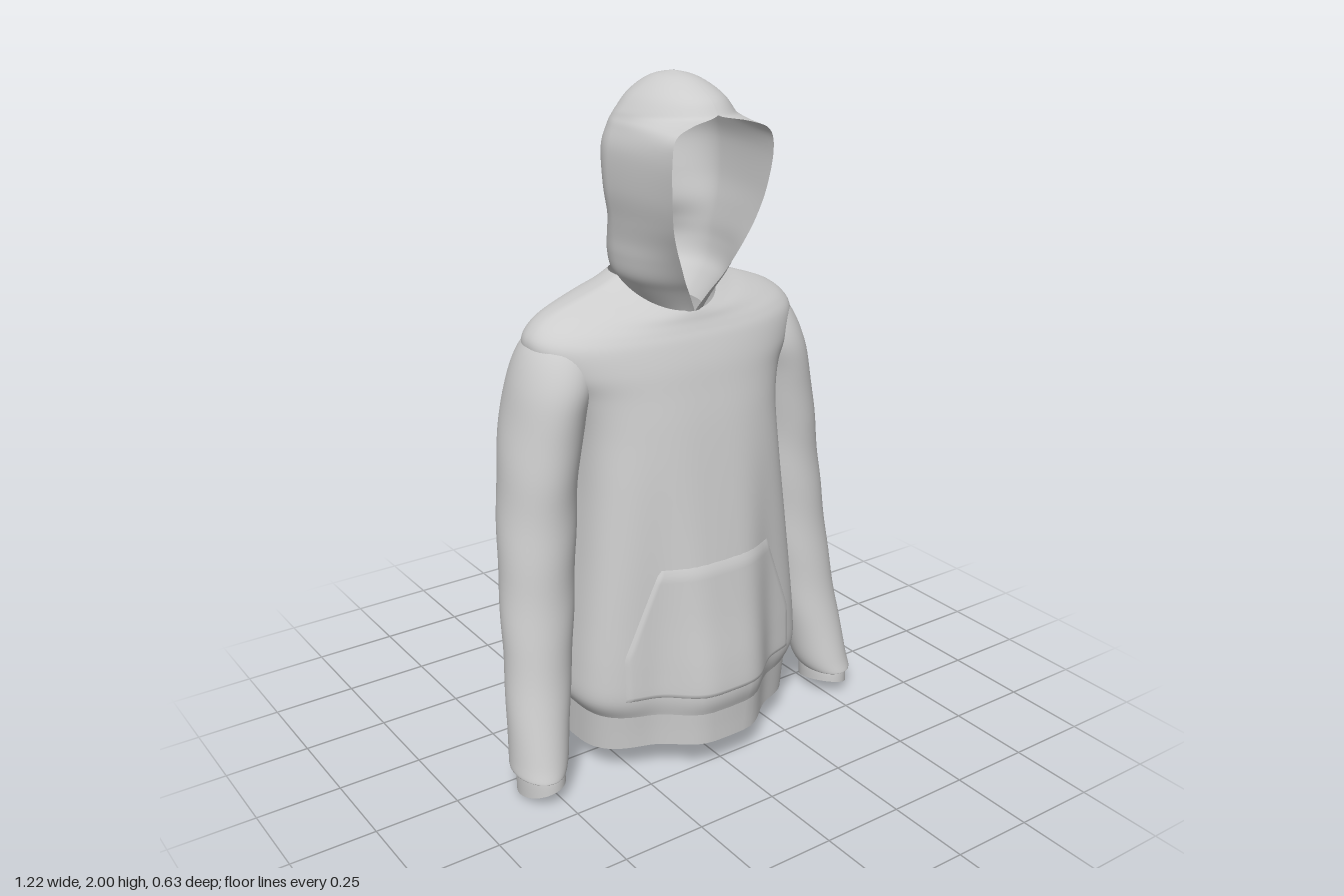
import * as THREE from 'three';

const fabric = new THREE.MeshStandardMaterial({ color: 0xcccccc, side: THREE.DoubleSide });
fabric.name = 'grey fabric';

// Smooth interpolation of every column of a table of cross-sections
function sample(rows, t) {
  const n = rows.length - 1;
  const i = Math.min(Math.floor(t), n - 1), f = t - i;
  const p0 = rows[Math.max(i - 1, 0)], p1 = rows[i], p2 = rows[i + 1], p3 = rows[Math.min(i + 2, n)];
  return p1.map((b, k) => {
    const m1 = (p2[k] - p0[k]) / 2, m2 = (p3[k] - b) / 2, d = p2[k] - b;
    return b + f * (m1 + f * (3 * d - 2 * m1 - m2 + f * (m1 + m2 - 2 * d)));
  });
}

// Smooth sheet: point(u, v) with u around and v upwards, both 0..1
function sheet(name, nu, nv, closed, point) {
  const pos = [], idx = [], cols = closed ? nu : nu + 1;
  for (let j = 0; j <= nv; j++)
    for (let i = 0; i < cols; i++) pos.push(...point(i / nu, j / nv));
  for (let j = 0; j < nv; j++)
    for (let i = 0; i < nu; i++) {
      const a = j * cols + i, b = j * cols + (i + 1) % cols, c = a + cols, d = b + cols;
      idx.push(a, c, b, b, c, d);
    }
  const g = new THREE.BufferGeometry();
  g.setAttribute('position', new THREE.Float32BufferAttribute(pos, 3));
  g.setIndex(idx);
  g.computeVertexNormals();
  const mesh = new THREE.Mesh(g, fabric);
  mesh.name = name;
  return mesh;
}

// Body sections: y, half width, front z, back z, widest z, front lift, back lift, belly, front squareness
const torsoRows = [
  [0.2, 0.358, 0.215, -0.269, 0, 0, 0, 0.083, 3.2],
  [0.255, 0.386, 0.224, -0.3, 0, 0, 0, 0.088, 3.3],
  [0.35, 0.382, 0.222, -0.308, 0, 0, 0, 0.082, 3.4],
  [0.5, 0.365, 0.218, -0.31, 0, 0, 0, 0.062, 3.4],
  [0.7, 0.342, 0.216, -0.307, 0, 0, 0, 0.036, 3.2],
  [0.9, 0.325, 0.208, -0.297, -0.01, 0, 0, 0.014, 3],
  [1.05, 0.327, 0.194, -0.285, -0.02, 0, 0, 0.003, 2.7],
  [1.15, 0.36, 0.176, -0.27, -0.04, 0, 0, 0, 2.5],
  [1.22, 0.415, 0.16, -0.256, -0.05, 0, 0, 0, 2.3],
  [1.29, 0.437, 0.14, -0.24, -0.055, -0.01, 0, 0, 2.2],
  [1.335, 0.414, 0.126, -0.227, -0.055, -0.025, 0, 0, 2.1],
  [1.37, 0.36, 0.117, -0.215, -0.055, -0.04, 0, 0, 2],
  [1.4, 0.28, 0.112, -0.205, -0.05, -0.055, 0, 0, 2],
  [1.425, 0.205, 0.108, -0.195, -0.05, -0.07, 0, 0, 2],
  [1.45, 0.15, 0.104, -0.186, -0.05, -0.088, 0, 0, 2],
];
const hemRows = [
  [0.075, 0.352, 0.212, -0.265, 0, 0.025, -0.015, 0.083, 3],
  [0.14, 0.355, 0.213, -0.267, 0, 0.01, 0, 0.083, 3.1],
  [0.2, 0.358, 0.215, -0.269, 0, 0, 0, 0.083, 3.2],
];

// Front of the body at x, with the belly standing forward in the middle
function frontZ([, w, zf, , zc, , , belly, n], x) {
  const edge = Math.max(0, 1 - Math.abs(x / w) ** n) ** (1 / n);
  return zc + (zf - zc) * edge + belly * Math.exp(-((x / 0.16) ** 4));
}

function bodyPoint(rows, u, v, fold) {
  const row = sample(rows, v * (rows.length - 1));
  const [y, w, , zb, zc, lf, lb, , n] = row;
  const a = u * Math.PI * 2, c = Math.cos(a), s = Math.sin(a);
  const x = w * Math.sign(c) * Math.abs(c) ** (2 / (s > 0 ? n : 2.4));
  if (s > 0) return [x, y + lf * s, frontZ(row, x)];
  // soft hanging folds down the back
  const wave = fold * s * s * Math.sin(v * Math.PI) * Math.sin(x * 34 + Math.sin(y * 4));
  return [x, y - lb * s, zc - (zc - zb) * Math.abs(s) ** (2 / 2.4) + wave];
}

// Pouch pocket laid over the front of the body
function pocket() {
  return sheet('pouchPocket', 48, 24, false, (u, v) => {
    const row = sample(torsoRows, 1.05 + v * 2.8), y = row[0];
    const half = y < 0.4 ? 0.3 : 0.3 - 0.11 * (y - 0.4) / 0.27;
    const x = half * (1 - 2 * u);
    const rim = u === 0 || u === 1 || v === 0 || v === 1;
    return [x, y, frontZ(row, x) + (rim ? -0.004 : 0.006)];
  });
}

// Sleeve sections: y, inner x, outer x, back z, front z, tilt along x, tilt along z
const sleeveRows = [
  [0.095, 0.47, 0.595, 0.0, 0.18, 0, 0],
  [0.088, 0.46, 0.608, -0.008, 0.188, 0, -0.005],
  [0.13, 0.44, 0.606, -0.018, 0.175, 0, 0],
  [0.25, 0.415, 0.597, -0.038, 0.145, 0, 0],
  [0.4, 0.385, 0.583, -0.07, 0.118, 0, 0],
  [0.55, 0.36, 0.572, -0.105, 0.1, 0, 0],
  [0.75, 0.335, 0.554, -0.148, 0.086, 0, 0],
  [0.95, 0.315, 0.53, -0.185, 0.085, 0, 0],
  [1.1, 0.285, 0.503, -0.208, 0.092, 0, 0],
  [1.2, 0.25, 0.477, -0.208, 0.088, 0, 0],
  [1.28, 0.24, 0.443, -0.182, 0.062, 0, 0],
  [1.325, 0.27, 0.4, -0.14, 0.02, 0, 0],
  [1.335, 0.32, 0.34, -0.07, -0.05, 0, 0],
];
const cuffRows = [
  [0.03, 0.465, 0.592, 0.008, 0.186, -0.016, 0.02],
  [0.07, 0.465, 0.592, 0.006, 0.184, -0.008, 0.01],
  [0.11, 0.468, 0.59, 0.005, 0.178, 0, 0],
];
function armPoint(rows, side, u, v, fold) {
  const [y, xi, xo, zb, zf, tx, tz] = sample(rows, v * (rows.length - 1));
  const a = u * Math.PI * 2, c = Math.cos(a), s = Math.sin(a);
  const r = 1 + fold * Math.sin(v * Math.PI) * Math.sin(y * 26 + s * 2 + c * side);
  return [side * (xi + xo) / 2 + r * c * (xo - xi) / 2,
    y + tx * c * side + tz * s, (zb + zf) / 2 + r * s * (zf - zb) / 2];
}

// Hood sections: y, opening edge x, opening edge z, half width, widest z, back z
const hoodRows = [
  [1.36, 0, 0.108, 0.085, -0.04, -0.13],
  [1.42, 0.036, 0.132, 0.128, -0.04, -0.158],
  [1.46, 0.062, 0.15, 0.153, -0.04, -0.182],
  [1.51, 0.088, 0.168, 0.163, -0.04, -0.193],
  [1.56, 0.112, 0.183, 0.167, -0.04, -0.178],
  [1.62, 0.135, 0.2, 0.175, -0.03, -0.157],
  [1.7, 0.153, 0.22, 0.187, -0.03, -0.165],
  [1.8, 0.163, 0.234, 0.187, -0.03, -0.182],
  [1.86, 0.15, 0.232, 0.17, -0.03, -0.165],
  [1.885, 0.09, 0.22, 0.158, -0.03, -0.152],
  [1.905, 0, 0.205, 0.147, -0.02, -0.144],
  [1.94, 0, 0.175, 0.12, -0.01, -0.128],
  [1.97, 0, 0.122, 0.084, 0, -0.098],
  [1.99, 0, 0.068, 0.047, 0, -0.055],
  [2.0, 0, 0.01, 0.001, 0.005, 0],
];
function hoodPoint(u, v) {
  const [y, ex, ez, w, zs, zb] = sample(hoodRows, v * (hoodRows.length - 1));
  const p = 2 * u - 1;
  const end = Math.acos(THREE.MathUtils.clamp(ex / w, 0, 0.97));
  const a = -Math.PI / 2 + Math.abs(p) * (Math.PI / 2 + end), s = Math.sin(a);
  const z = a > 0 ? zs + (ez - zs) * s / Math.sin(end) : zs + (zs - zb) * s;
  return [Math.sign(p) * w * Math.cos(a), y, z];
}

export function createModel() {
  const model = new THREE.Group();
  model.name = 'hoodedSweatshirt';
  model.add(
    sheet('torso', 112, 84, true, (u, v) => bodyPoint(torsoRows, u, v, 0.008)),
    sheet('hemBand', 112, 10, true, (u, v) => bodyPoint(hemRows, u, v, 0)),
    pocket(),
    sheet('hood', 80, 84, false, hoodPoint),
  );
  for (const side of [1, -1]) {
    const arm = new THREE.Group();
    arm.name = side > 0 ? 'leftSleeve' : 'rightSleeve';
    arm.add(
      sheet('sleeve', 48, 96, true, (u, v) => armPoint(sleeveRows, side, u, v, 0.012)),
      sheet('cuff', 48, 6, true, (u, v) => armPoint(cuffRows, side, u, v, 0)),
    );
    model.add(arm);
  }
  return model;
}
